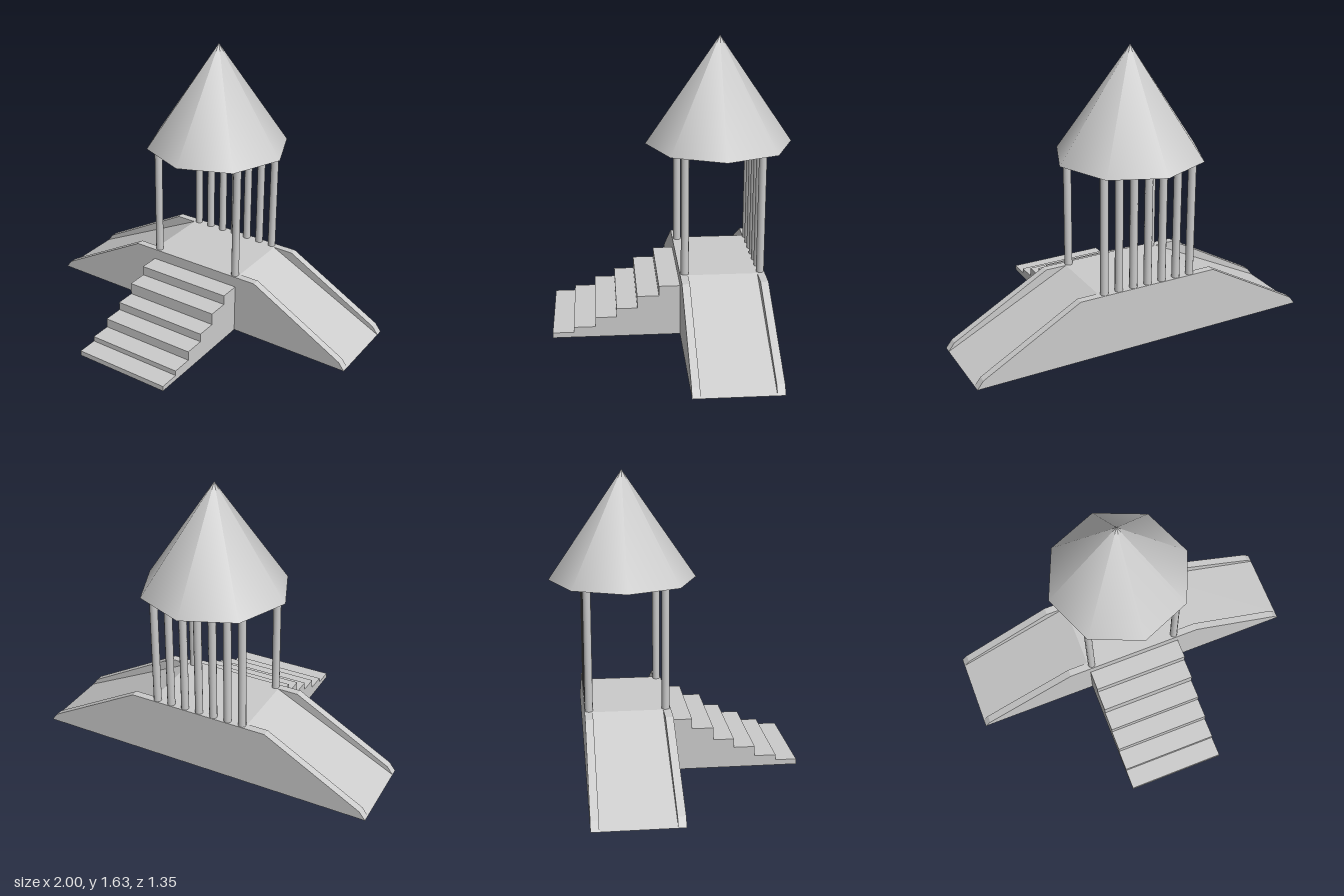
import * as THREE from 'three';

const material = new THREE.MeshStandardMaterial({ color: 0xcccccc });
const DECK = { y: 0.355, halfWidth: 0.29, back: -0.5, front: -0.03 };
const midZ = (DECK.back + DECK.front) / 2;

function add(parent, name, geometry, x = 0, y = 0, z = 0) {
  const mesh = new THREE.Mesh(geometry, material);
  mesh.name = name;
  mesh.position.set(x, y, z);
  parent.add(mesh);
  return mesh;
}

// Extrude a closed outline of [x, y] points along +z
function slab(points, depth) {
  const shape = new THREE.Shape(points.map(([x, y]) => new THREE.Vector2(x, y)));
  return new THREE.ExtrudeGeometry(shape, { depth, bevelEnabled: false });
}

// Slide descending towards +x: a sloped bed between two side rails
function makeSlide(name) {
  const slide = new THREE.Group();
  slide.name = name;
  const w = DECK.halfWidth;
  const rail = 0.043;
  const bed = [[w, 0], [1, 0], [w, DECK.y]];
  const side = [[w, 0], [1, 0], [0.965, 0.045], [0.41, DECK.y], [w, DECK.y]];
  add(slide, 'slideBed', slab(bed, DECK.front - DECK.back - 2 * rail), 0, 0, DECK.back + rail);
  add(slide, 'backRail', slab(side, rail), 0, 0, DECK.back);
  add(slide, 'frontRail', slab(side, rail), 0, 0, DECK.front - rail);
  return slide;
}

export function createModel() {
  const model = new THREE.Group();
  model.name = 'playTower';

  // Platform
  add(model, 'platform',
    new THREE.BoxGeometry(2 * DECK.halfWidth, DECK.y, DECK.front - DECK.back), 0, DECK.y / 2, midZ);

  // Slides on both sides
  const left = makeSlide('leftSlide');
  const right = makeSlide('rightSlide');
  right.rotation.y = Math.PI;
  right.position.z = 2 * midZ;
  model.add(left, right);

  // Stairs: one stepped outline, extruded across the width
  const heights = [0.03, 0.06, 0.115, 0.165, 0.235, 0.292];
  const stepEdges = [0.677, 0.56, 0.44, 0.322, 0.207, 0.087, DECK.front];
  const outline = [[stepEdges[6], 0], [stepEdges[0], 0]];
  heights.forEach((h, i) => outline.push([stepEdges[i], h], [stepEdges[i + 1], h]));
  const stairWidth = 0.572;
  const stairs = add(model, 'stairs', slab(outline, stairWidth), stairWidth / 2);
  stairs.rotation.y = -Math.PI / 2;

  // Posts: a row of seven at the back, two at the front corners
  const postTop = 1.03;
  const post = new THREE.CylinderGeometry(0.022, 0.022, postTop - DECK.y, 12);
  const postY = (postTop + DECK.y) / 2;
  for (let i = 0; i < 7; i++) add(model, 'backPost', post, -0.267 + i * 0.088, postY, -0.476);
  for (const s of [-1, 1]) add(model, 'frontPost', post, s * 0.267, postY, -0.057);

  // Eight-sided roof with smooth shading
  add(model, 'roof', new THREE.ConeGeometry(0.41, 0.6, 8), 0, postTop + 0.3, -0.267);

  return model;
}
